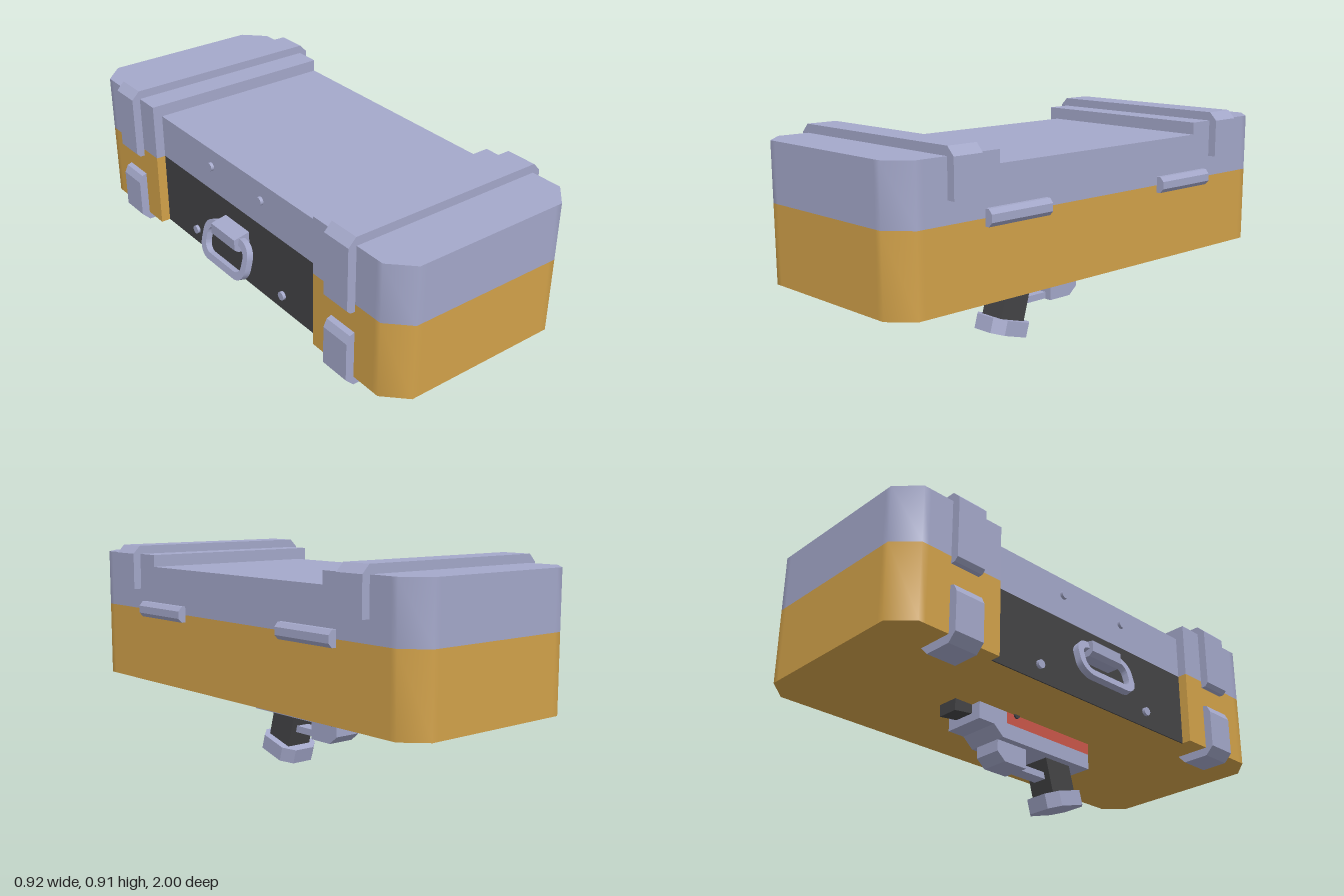
import * as THREE from 'three';
import { toCreasedNormals } from 'three/addons/utils/BufferGeometryUtils.js';

const mat = (name, color) => {
  const m = new THREE.MeshStandardMaterial({ color });
  m.name = name;
  return m;
};

const toShape = (pts) => new THREE.Shape(pts.map(([a, b]) => new THREE.Vector2(a, b)));
const extrude = (shape, depth) =>
  new THREE.ExtrudeGeometry(shape, { depth, bevelEnabled: false, curveSegments: 6 });

// outline in (x, z), raised from y0 to y1
function planGeo(pts, y0, y1) {
  return extrude(toShape(pts.map(([x, z]) => [x, -z])), y1 - y0).rotateX(-Math.PI / 2).translate(0, y0, 0);
}
// outline in (x, y), running from z0 to z1
const frontGeo = (pts, z0, z1) => extrude(toShape(pts), z1 - z0).translate(0, 0, z0);
// outline in (z, y), running from x0 to x1
const sideGeo = (shape, x0, x1) => extrude(shape, x1 - x0).rotateY(-Math.PI / 2).translate(x1, 0, 0);

function boxGeo(x0, x1, y0, y1, z0, z1) {
  return new THREE.BoxGeometry(x1 - x0, y1 - y0, z1 - z0)
    .translate((x0 + x1) / 2, (y0 + y1) / 2, (z0 + z1) / 2);
}

function roundedRect(w, h, r, Type) {
  const s = new Type(), a = w / 2, b = h / 2;
  s.moveTo(-a + r, -b).lineTo(a - r, -b);
  s.absarc(a - r, -b + r, r, -Math.PI / 2, 0);
  s.absarc(a - r, b - r, r, 0, Math.PI / 2);
  s.absarc(-a + r, b - r, r, Math.PI / 2, Math.PI);
  s.absarc(-a + r, -b + r, r, Math.PI, Math.PI * 1.5);
  return s;
}

export function createModel() {
  const group = new THREE.Group();
  group.name = 'equipmentCase';
  const metal = mat('lavenderMetal', 0xa4a8ca);
  const orange = mat('orangeShell', 0xd2a24a);
  const dark = mat('darkRubber', 0x444446);
  const red = mat('redPlate', 0xca5749);

  const add = (name, geo, material, parent = group) => {
    const mesh = new THREE.Mesh(geo, material);
    mesh.name = name;
    parent.add(mesh);
    return mesh;
  };

  const L = -0.41, R = 0.423, BOTTOM = 0.333, SEAM = 0.645, TOP = 0.88;

  // Case ends with softened corner chamfers
  for (const s of [1, -1]) {
    const c = 0.085, e = 0.03;
    const outline = [
      [L, 0.545], [L, 1 - c - e], [L, 1 - c], [L + c, 1], [L + c + e, 1],
      [R - c - e, 1], [R - c, 1], [R, 1 - c], [R, 1 - c - e], [R, 0.545],
    ].map(([x, z]) => [x, z * s]);
    add('caseEndLower', toCreasedNormals(planGeo(outline, BOTTOM, SEAM), 0.9), orange);
    add('caseEndUpper', toCreasedNormals(planGeo(outline, SEAM, TOP), 0.9), metal);
  }

  // Recessed middle of the case
  add('caseMiddleLower', boxGeo(-0.365, R, BOTTOM, SEAM, -0.545, 0.545), orange);
  add('caseMiddleUpper', boxGeo(-0.37, R, SEAM, 0.83, -0.545, 0.545), metal);
  add('latchPanel', boxGeo(-0.37, -0.365, BOTTOM, SEAM, -0.545, 0.545), dark);

  // Straps over the lid, lower clips and hinges at both ends
  const strap = [
    [-0.40, 0.615], [-0.43, 0.615], [-0.445, 0.63], [-0.445, 0.882], [-0.412, 0.915],
    [0.425, 0.915], [0.457, 0.882], [0.457, 0.73], [0.40, 0.73], [0.40, 0.87], [-0.40, 0.87],
  ];
  const clip = [
    [-0.40, 0.53], [-0.43, 0.52], [-0.445, 0.49], [-0.445, 0.333], [-0.41, 0.298],
    [-0.295, 0.298], [-0.26, 0.335], [-0.40, 0.345],
  ];
  const hinge = [
    [0.415, 0.68], [0.441, 0.68], [0.457, 0.662], [0.457, 0.632], [0.441, 0.615], [0.415, 0.615],
  ];
  for (const s of [1, -1]) {
    const z0 = s * 0.718 - 0.065, z1 = z0 + 0.13;
    add('lidStrap', frontGeo(strap, z0, z1), metal);
    add('lowerClip', frontGeo(clip, z0, z1), metal);
    add('hinge', frontGeo(hinge, s * 0.465 - 0.15, s * 0.465 + 0.15), metal);
    // Panel bolts
    for (const [y, z] of [[0.755, 0.17], [0.4, 0.305]]) {
      const bolt = new THREE.CylinderGeometry(0.018, 0.018, 0.018, 10).rotateZ(Math.PI / 2);
      add('bolt', bolt.translate(-0.374, y, z * s), metal);
    }
  }

  // Carry ring and its bracket
  const bracket = [[-0.365, 0.575], [-0.44, 0.56], [-0.44, 0.515], [-0.42, 0.5], [-0.365, 0.5]];
  add('ringBracket', frontGeo(bracket, -0.082, 0.082), metal);
  const ringShape = roundedRect(0.31, 0.17, 0.065, THREE.Shape);
  ringShape.holes.push(roundedRect(0.25, 0.11, 0.04, THREE.Path));
  const ring = add('carryRing', toCreasedNormals(sideGeo(ringShape, -0.014, 0.014), 0.6), metal);
  ring.position.set(-0.424, 0.475, 0);
  ring.rotation.z = -0.25;

  // Tool hanging under the case
  const tool = new THREE.Group();
  tool.name = 'hangingTool';
  group.add(tool);
  const tl = -0.083, tr = 0.098, cx = 0.0075;
  add('toolTopPlate', boxGeo(tl, tr, 0.285, 0.334, -0.2, 0.268), red, tool);
  const body = toShape([
    [0.268, 0.285], [0.268, 0.22], [-0.22, 0.22], [-0.268, 0.262],
    [-0.345, 0.262], [-0.345, 0.334], [-0.2, 0.334], [-0.2, 0.285],
  ]);
  add('toolBody', sideGeo(body, tl, tr), metal, tool);
  const pin = new THREE.CylinderGeometry(0.014, 0.014, 0.196, 10).rotateZ(Math.PI / 2);
  add('toolPin', pin.translate(cx, 0.332, -0.15), dark, tool);
  const nozzle = toShape([[-0.34, 0.334], [-0.34, 0.296], [-0.43, 0.283], [-0.43, 0.334]]);
  add('toolNozzle', sideGeo(nozzle, cx - 0.045, cx + 0.045), dark, tool);
  const block = toShape([
    [-0.065, 0.225], [-0.065, 0.138], [-0.18, 0.138], [-0.22, 0.172], [-0.22, 0.225],
  ]);
  add('toolFrontBlock', sideGeo(block, cx - 0.06, cx + 0.06), metal, tool);
  add('toolGuard', boxGeo(cx - 0.03, cx + 0.03, 0.14, 0.168, -0.07, 0.1), metal, tool);

  // Tilted grip with an eight-sided foot
  const grip = add('grip', new THREE.BoxGeometry(0.115, 0.2, 0.13), dark, tool);
  grip.position.set(cx, 0.18, 0.128);
  grip.rotation.x = -0.27;
  const w = 0.0905, d = 0.104, k = 0.042;
  const foot = [
    [-w, d - k], [-w + k, d], [w - k, d], [w, d - k],
    [w, k - d], [w - k, -d], [k - w, -d], [-w, k - d],
  ];
  const gripFoot = add('gripFoot', planGeo(foot, -0.031, 0.031), metal, tool);
  gripFoot.position.set(cx, 0.0655, 0.158);
  gripFoot.rotation.x = -0.28;

  return group;
}
